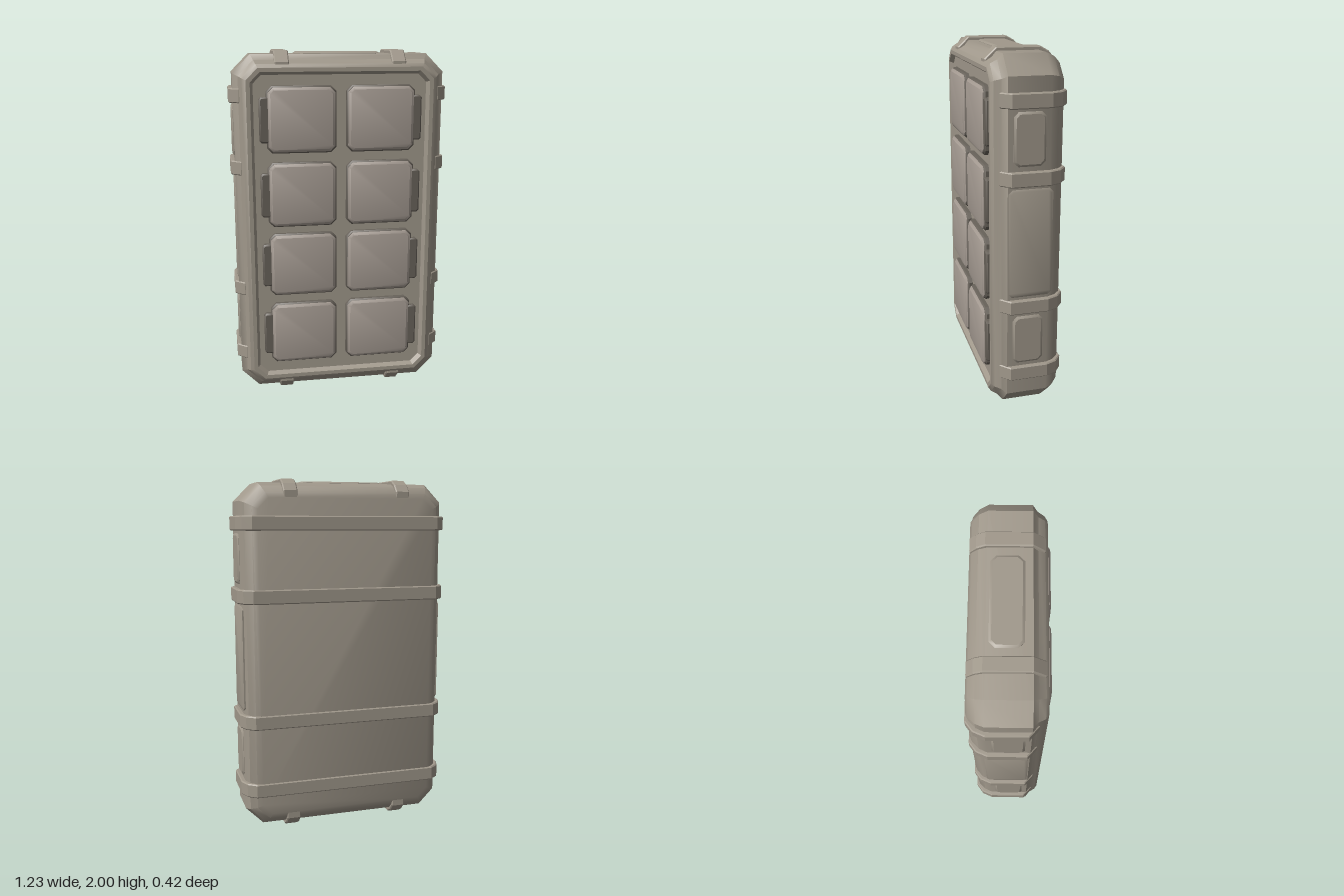
import * as THREE from 'three';
import { toCreasedNormals } from 'three/addons/utils/BufferGeometryUtils.js';

const shellMat = new THREE.MeshStandardMaterial({ color: 0xa0988b });
shellMat.name = 'warm grey shell';
const tileMat = new THREE.MeshStandardMaterial({ color: 0xa89e95 });
tileMat.name = 'pale grey tile';
const darkMat = new THREE.MeshStandardMaterial({ color: 0x68625a });
darkMat.name = 'dark grey trim';

// Chamfered rectangle lofted along z; profile rows are [z, inset]
function loft(hw, hh, chamfer, profile) {
  const pos = [], index = [], n = 8;
  for (const [z, inset] of profile) {
    const w = hw - inset, h = hh - inset, c = Math.max(0.008, chamfer - inset * 0.5);
    const ring = [[w, -h + c], [w, h - c], [w - c, h], [-w + c, h], [-w, h - c], [-w, -h + c], [-w + c, -h], [w - c, -h]];
    for (const [x, y] of ring) pos.push(x, y, z);
  }
  const last = (profile.length - 1) * n;
  for (let r = 0; r < last; r += n) {
    for (let i = 0; i < n; i++) {
      const a = r + i, b = r + (i + 1) % n;
      index.push(a, b, b + n, a, b + n, a + n);
    }
  }
  for (let i = 1; i < n - 1; i++) {
    index.push(0, i + 1, i);
    index.push(last, last + i, last + i + 1);
  }
  const g = new THREE.BufferGeometry();
  g.setAttribute('position', new THREE.Float32BufferAttribute(pos, 3));
  g.setIndex(index);
  return toCreasedNormals(g, 0.55);
}

// Flat outline extruded to a centred thickness
function slab(points, depth) {
  const shape = new THREE.Shape(points.map(([x, y]) => new THREE.Vector2(x, y)));
  const b = 0.006;
  const g = new THREE.ExtrudeGeometry(shape, {
    depth: depth - 2 * b, bevelEnabled: true, bevelSize: b, bevelOffset: -b, bevelThickness: b, bevelSegments: 1,
  });
  return g.translate(0, 0, -depth / 2 + b);
}

export function createModel() {
  const model = new THREE.Group();
  model.name = 'ruggedCase';
  const add = (name, geometry, material, x = 0, y = 0, z = 0) => {
    const m = new THREE.Mesh(geometry, material);
    m.name = name;
    m.position.set(x, y, z);
    model.add(m);
    return m;
  };

  // Case shell with bevelled back, raised front frame and recessed panel
  add('shell', loft(0.592, 0.98, 0.1, [
    [-0.202, 0.085], [-0.19, 0.055], [-0.155, 0.02], [-0.11, 0],
    [0.115, 0], [0.14, 0.03], [0.175, 0.05], [0.19, 0.07], [0.19, 0.092], [0.165, 0.108],
  ]), shellMat, 0, 1, 0);

  // Straps running across the sides and back
  const strapOutline = [
    [-0.56, 0.15], [-0.615, 0.1], [-0.615, -0.11], [-0.59, -0.17], [-0.54, -0.208],
    [0.54, -0.208], [0.59, -0.17], [0.615, -0.11], [0.615, 0.1], [0.56, 0.15],
  ].map(([x, z]) => [x, -z]);
  const strapGeo = slab(strapOutline, 0.08).rotateX(-Math.PI / 2);
  for (const y of [0.25, 0.65, 1.36, 1.76]) add('sideStrap', strapGeo, shellMat, 0, y, 0);

  // Clips hooked over the top and bottom edges
  const clipOutline = [[0.9, 0.178], [0.94, 0.178], [1, 0.115], [1, -0.12], [0.975, -0.165], [0.935, -0.2], [0.9, -0.2]]
    .map(([y, z]) => [-z, y]);
  const clipGeo = slab(clipOutline, 0.08).rotateY(Math.PI / 2);
  for (const x of [-0.325, 0.325]) {
    add('topClip', clipGeo, shellMat, x, 1, 0);
    add('bottomClip', clipGeo, shellMat, x, 1, 0).rotation.z = Math.PI;
  }

  // Raised pads on the sides, top and bottom
  const padProfile = [[-0.01, 0], [0.002, 0], [0.01, 0.012]];
  const shortPad = loft(0.085, 0.14, 0.025, padProfile);
  const longPad = loft(0.12, 0.3, 0.02, [[-0.01, 0], [0, 0], [0.006, 0.012]]);
  const endPad = loft(0.24, 0.085, 0.03, padProfile);
  for (const s of [-1, 1]) {
    for (const y of [0.45, 1.565]) add('sidePad', shortPad, shellMat, s * 0.592, y, 0).rotation.y = s * Math.PI / 2;
    add('longSidePad', longPad, shellMat, s * 0.592, 1.005, -0.01).rotation.y = s * Math.PI / 2;
    add('endPad', endPad, shellMat, 0, 1 + s * 0.98, -0.01).rotation.x = -s * Math.PI / 2;
  }

  // Two columns of four front tiles, each with a dark skirt and an outer tab
  const skirtGeo = loft(0.193, 0.184, 0.03, [[0.16, 0], [0.185, 0], [0.193, 0.008]]);
  const tileGeo = loft(0.185, 0.176, 0.028, [[0.18, 0], [0.198, 0], [0.207, 0.014]]);
  const tabGeo = loft(0.03, 0.125, 0.012, [[0.16, 0], [0.188, 0], [0.196, 0.008]]);
  for (const s of [-1, 1]) {
    for (const y of [0.38, 0.8, 1.21, 1.63]) {
      add('tileSkirt', skirtGeo, darkMat, s * 0.222, y);
      add('tile', tileGeo, tileMat, s * 0.222, y);
      add('tileTab', tabGeo, darkMat, s * 0.425, y);
    }
  }
  return model;
}
